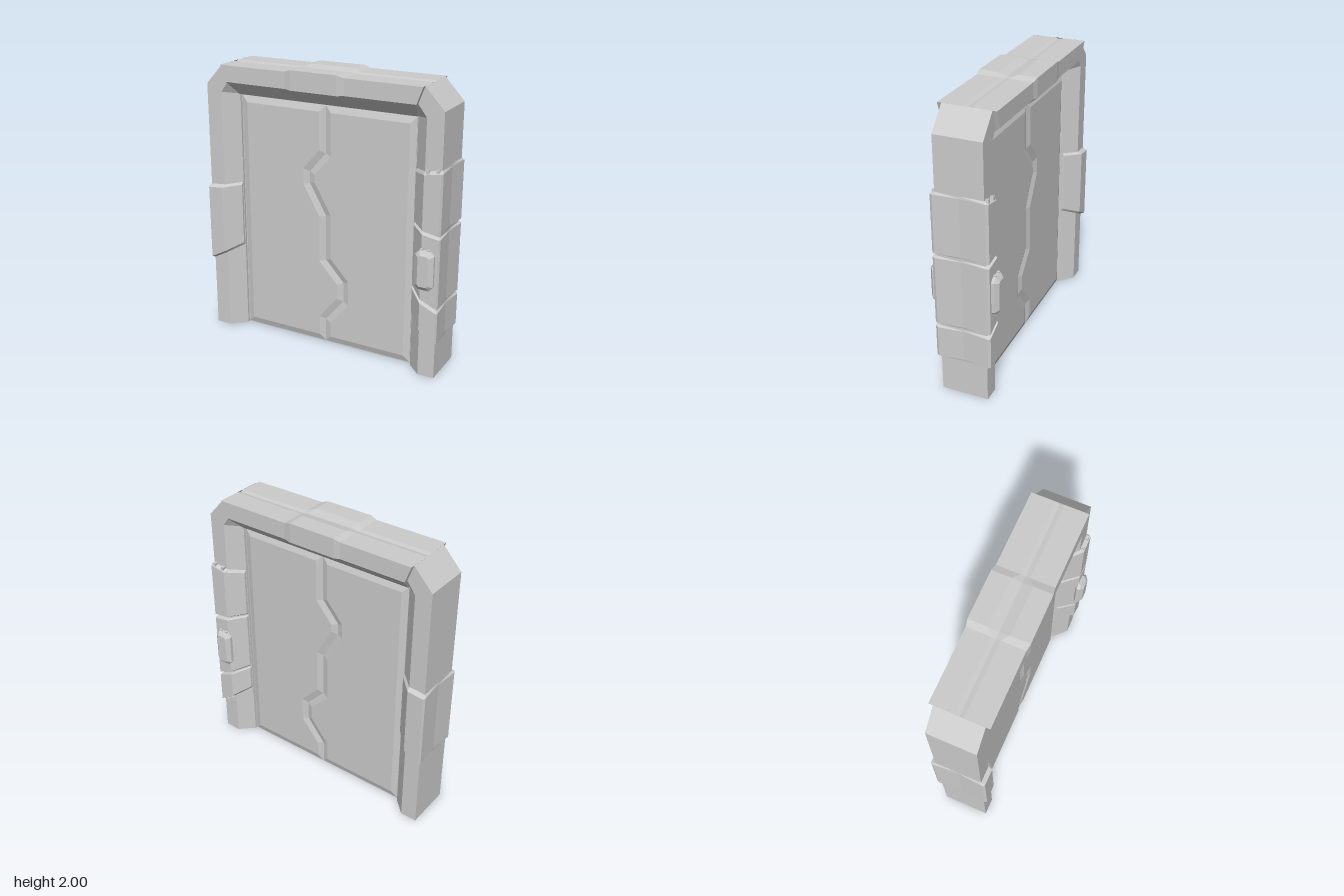
import * as THREE from 'three';

const material = new THREE.MeshStandardMaterial({ color: 0xcccccc, flatShading: true, side: THREE.DoubleSide });

function addMesh(parent, geometry, name) {
  const mesh = new THREE.Mesh(geometry, material);
  mesh.name = name;
  parent.add(mesh);
  return mesh;
}

function fromTriangles(tris) {
  const geometry = new THREE.BufferGeometry();
  geometry.setAttribute('position', new THREE.Float32BufferAttribute(tris.flat(2), 3));
  geometry.computeVertexNormals();
  return geometry;
}

// Open-ended shell through a row of matching [x, y, z] rings
function loft(rings) {
  const n = rings[0].length, tris = [];
  for (let r = 0; r < rings.length - 1; r++) {
    for (let i = 0; i < n; i++) {
      const j = (i + 1) % n;
      const a = rings[r][i], b = rings[r][j], c = rings[r + 1][j], d = rings[r + 1][i];
      tris.push([a, b, c], [a, c, d]);
    }
  }
  // Turn all faces outward, judged from the shell's middle
  const middle = new THREE.Vector3();
  rings.flat().forEach((p) => middle.add(new THREE.Vector3(...p)));
  middle.divideScalar(n * rings.length);
  let volume = 0;
  for (const tri of tris) {
    const [a, b, c] = tri.map((p) => new THREE.Vector3(...p).sub(middle));
    volume += a.dot(b.cross(c));
  }
  if (volume < 0) tris.forEach((t) => t.reverse());
  return fromTriangles(tris);
}

// Half profile (z >= 0) completed by its mirror; a point on z = 0 is not doubled
function mirrorZ(half) {
  const back = half.filter((p) => p[2] > 0).reverse().map(([x, y, z]) => [x, y, -z]);
  return [...half, ...back];
}

// Door post with chamfered inner edges and a slanted shoulder
function jamb(side) {
  const ring = (pts) => mirrorZ(pts.map(([x, y], i) => [side * x, y, [0.165, 0.165, 0.073][i]]));
  return loft([
    ring([[0.885, 0], [0.768, 0], [0.672, 0]]),
    ring([[0.885, 1.84], [0.768, 1.79], [0.672, 1.77]]),
    ring([[0.75, 1.985], [0.707, 1.87], [0.67, 1.77]]),
  ]);
}

// Top beam with mitred lips onto the posts, a shallow top groove and a raised middle
function lintel() {
  const section = (lift, groove) => [
    [1.985 + lift - groove * 0.22, 0],
    [1.985 + lift, groove],
    [1.985 + lift, 0.194 + lift * 0.6],
    [1.87 - lift * 0.3, 0.194 + lift * 0.6],
    [1.77, 0.085],
  ];
  const lip = [[1.97, 0], [1.975, 0.03], [1.975, 0.163], [1.87, 0.163], [1.775, 0.073]];
  const ring = (x, pts) => mirrorZ(pts.map(([y, z]) => [x, y, z]));
  const mitre = (side, pts) => mirrorZ(pts.map(([y, z]) => [side * (0.67 + (y - 1.77) * 0.37), y, z]));
  const plain = section(0, 0.03), raised = section(0.015, 0.07);
  return loft([
    mitre(-1, lip), mitre(-1, plain),
    ring(-0.235, plain), ring(-0.19, raised), ring(0.155, raised), ring(0.205, plain),
    mitre(1, plain), mitre(1, lip),
  ]);
}

// Armour plate wrapped round a post; bottom and top are [inner y, outer y]
function armour(side, bottom, top, bevelBottom, bevelTop) {
  const full = [[0.887, 0], [0.899, 0.178], [0.89, 0.195], [0.775, 0.195], [0.674, 0.092]];
  const inset = [[0.884, 0], [0.886, 0.16], [0.882, 0.166], [0.768, 0.166], [0.674, 0.075]];
  const ring = (section, ends, shift) => mirrorZ(section.map(([x, z]) =>
    [side * x, THREE.MathUtils.mapLinear(x, 0.67, 0.895, ends[0], ends[1]) + shift, z]));
  return loft([
    ring(inset, bottom, 0), ring(full, bottom, bevelBottom),
    ring(full, top, -bevelTop), ring(inset, top, 0),
  ]);
}

// Door leaf bevelled on every edge; outline is the outer foot of the bevel
function leaf(outline) {
  const shape = new THREE.Shape(outline.map(([x, y]) => new THREE.Vector2(x, y)));
  const depth = 0.15, bevel = 0.015;
  const solid = new THREE.ExtrudeGeometry(shape, {
    depth: depth - 2 * bevel, bevelSegments: 1,
    bevelThickness: bevel, bevelSize: 0.045, bevelOffset: -0.045,
  }).translate(0, 0, bevel - depth / 2);
  // Leave out the hidden walls where the two leaves touch
  const p = solid.attributes.position, normal = solid.attributes.normal, tris = [];
  for (let i = 0; i < p.count; i += 3) {
    const tri = [0, 1, 2].map((k) => [p.getX(i + k), p.getY(i + k), p.getZ(i + k)]);
    const hidden = Math.abs(normal.getZ(i)) < 0.01 && tri.every(([x]) => Math.abs(x) < 0.3);
    if (!hidden) tris.push(tri);
  }
  return fromTriangles(tris);
}

// Thin border between the leaves and the frame
function border() {
  const rect = (path, w, bottom, top) => path.setFromPoints(
    [[-w, bottom], [w, bottom], [w, top], [-w, top]].map(([x, y]) => new THREE.Vector2(x, y)));
  const shape = rect(new THREE.Shape(), 0.674, 0.002, 1.775);
  shape.holes.push(rect(new THREE.Path(), 0.661, 0.013, 1.759));
  return new THREE.ExtrudeGeometry(shape, { depth: 0.11, bevelEnabled: false }).translate(0, 0, -0.055);
}

// Rectangle with cut corners
function cutRect(w, h, c) {
  const pts = [[w - c, -h], [w, c - h], [w, h - c], [w - c, h], [c - w, h], [-w, h - c], [-w, c - h], [c - w, -h]];
  return new THREE.Shape(pts.map(([x, y]) => new THREE.Vector2(x, y)));
}

// Control box: base with cut corners, steep bevel, small pegs at the ends
function controlBox() {
  const group = new THREE.Group();
  const body = new THREE.ExtrudeGeometry(cutRect(0.037, 0.108, 0.012), {
    depth: 0.022, bevelSegments: 1, bevelThickness: 0.024, bevelSize: 0.029,
  });
  addMesh(group, body, 'controlBoxBody').position.z = 0.002;
  for (const x of [-0.025, 0.025]) {
    for (const y of [-0.135, 0.135]) {
      addMesh(group, new THREE.BoxGeometry(0.018, 0.022, 0.018), 'controlBoxPeg').position.set(x, y, 0.015);
    }
  }
  return group;
}

export function createModel() {
  const model = new THREE.Group();
  model.name = 'slidingDoor';

  // Frame
  addMesh(model, jamb(1), 'leftJamb');
  addMesh(model, jamb(-1), 'rightJamb');
  addMesh(model, lintel(), 'lintel');
  addMesh(model, border(), 'doorBorder');

  // Two leaves whose bevels form a zigzag groove where they meet
  const seam = [[0, 1.76], [0, 1.43], [-0.125, 1.285], [-0.125, 1.2], [0, 0.98], [0, 0.65],
    [0.14, 0.5], [0.14, 0.355], [0, 0.185], [0, 0.012]];
  for (const side of [1, -1]) {
    const outline = [...seam, [side * 0.662, 0.012], [side * 0.662, 1.76]];
    addMesh(model, leaf(outline), side > 0 ? 'leftLeaf' : 'rightLeaf');
  }

  // Armour plates
  addMesh(model, armour(1, [1.07, 1.035], [1.43, 1.47], 0.01, 0.018), 'upperArmour');
  addMesh(model, armour(1, [0.615, 0.515], [1.06, 1.022], 0.01, 0.01), 'middleArmour');
  addMesh(model, armour(1, [0.41, 0.255], [0.605, 0.503], 0.014, 0.01), 'lowerArmour');
  addMesh(model, armour(-1, [0.645, 0.525], [1.125, 1.105], 0.018, 0.018), 'rightArmour');

  // Control boxes and plate bolts on both faces
  for (const face of [1, -1]) {
    const box = controlBox();
    box.name = 'controlBox';
    box.position.set(0.807, 0.795, face * 0.191);
    if (face < 0) box.rotation.y = Math.PI;
    model.add(box);
    for (const [x, y, tilt] of [[0.795, 1.447, 0.15], [0.865, 1.458, 0.15], [0.8, 0.325, -0.56], [0.85, 0.293, -0.56]]) {
      const bolt = addMesh(model, new THREE.BoxGeometry(0.022, 0.034, 0.022), 'plateBolt');
      bolt.position.set(x, y, face * 0.178);
      bolt.rotation.z = tilt;
    }
  }
  return model;
}
